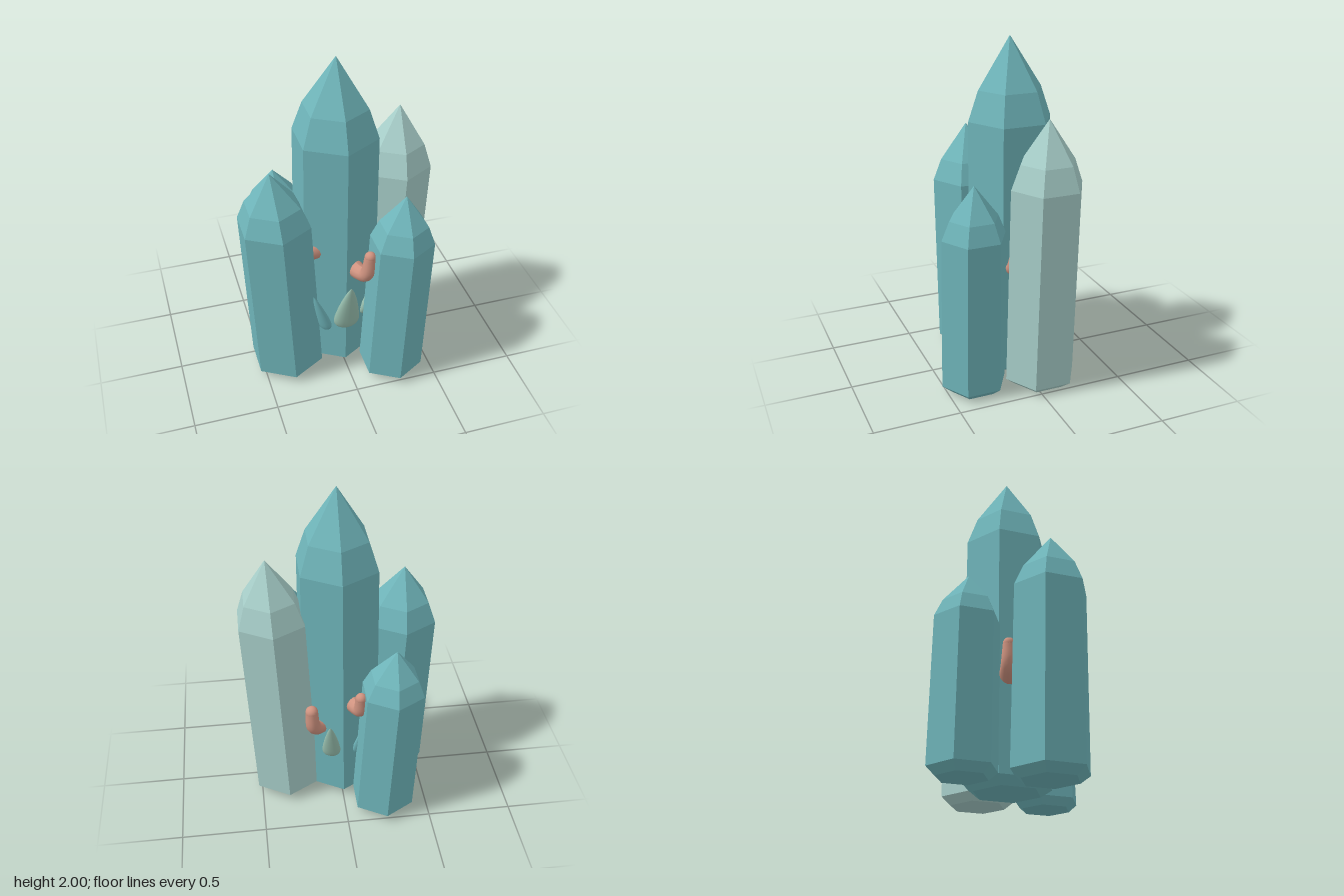
import * as THREE from 'three';

const mat = (name, color) => {
  const m = new THREE.MeshStandardMaterial({ color });
  m.name = name;
  return m;
};

export function createModel() {
  const teal = mat('teal', 0x6fb5ba);
  const pale = mat('paleTeal', 0xa8cfca);
  const sage = mat('sageGreen', 0x98bfae);
  const coral = mat('coralPink', 0xcf9380);
  const root = new THREE.Group();
  root.name = 'crystalCluster';

  const add = (name, geo, material, parent = root) => {
    const mesh = new THREE.Mesh(geo, material);
    mesh.name = name;
    parent.add(mesh);
    return mesh;
  };

  // Six-sided crystal with chamfered foot and two-step point, sheared to lean
  function crystal(name, material, height, foot, tip, r0, r1) {
    const profile = [
      [0, 0], [r0 * 0.74, 0], [r0, 0.045],
      [r1, height * 0.765], [r1 * 0.76, height * 0.852], [0, height],
    ].map(([r, y]) => new THREE.Vector2(r, y));
    const geo = new THREE.LatheGeometry(profile, 6).toNonIndexed();
    const p = geo.attributes.position;
    for (let i = 0; i < p.count; i++) {
      const t = p.getY(i) / height;
      p.setX(i, p.getX(i) + THREE.MathUtils.lerp(foot[0], tip[0], t));
      p.setZ(i, p.getZ(i) + THREE.MathUtils.lerp(foot[1], tip[1], t));
    }
    geo.computeVertexNormals();
    add(name, geo, material);
  }
  crystal('centreCrystal', teal, 2.0, [-0.003, -0.003], [0.01, -0.003], 0.265, 0.252);
  crystal('leftCrystal', pale, 1.615, [0.333, -0.06], [0.41, -0.065], 0.216, 0.214);
  crystal('rightCrystal', teal, 1.41, [-0.34, 0.113], [-0.405, 0.115], 0.226, 0.219);
  crystal('frontCrystal', teal, 1.265, [0.265, 0.333], [0.32, 0.335], 0.195, 0.188);
  crystal('backCrystal', teal, 1.135, [-0.233, -0.333], [-0.29, -0.335], 0.195, 0.189);

  // Flattened pointed buds leaning out of the centre crystal
  const budProfile = new THREE.SplineCurve([
    [0, 0], [0.7, 0.03], [1, 0.13], [0.9, 0.35], [0.62, 0.64], [0.28, 0.88], [0, 1],
  ].map(([r, y]) => new THREE.Vector2(r, y))).getPoints(18);
  budProfile.forEach((v) => { v.x = Math.max(0, v.x); });
  const budGeo = new THREE.LatheGeometry(budProfile, 16);
  const buds = new THREE.Group();
  buds.name = 'buds';
  root.add(buds);
  [
    ['frontBud', sage, [0, 0.32, 0.245], [0, 0.69, 0.355], 0.078],
    ['frontLeftBud', sage, [0.145, 0.32, 0.155], [0.205, 0.58, 0.215], 0.058],
    ['frontRightBud', teal, [-0.115, 0.295, 0.21], [-0.2, 0.585, 0.25], 0.055],
    ['backBud', sage, [0.068, 0.32, -0.225], [0.085, 0.6, -0.315], 0.055],
    ['backRightBud', teal, [-0.1, 0.3, -0.2], [-0.13, 0.58, -0.285], 0.045],
  ].forEach(([name, material, a, b, r]) => {
    const base = new THREE.Vector3(...a);
    const d = new THREE.Vector3(...b).sub(base);
    const bud = add(name, budGeo, material, buds);
    bud.position.copy(base);
    bud.rotation.set(Math.atan2(Math.hypot(d.x, d.z), d.y), Math.atan2(d.x, d.z), 0, 'YXZ');
    bud.scale.set(r, d.length(), r * 0.62);
  });

  // Tapered bent fingers with round tips
  function finger(name, points, r0 = 0.055, r1 = 0.033) {
    const curve = new THREE.CatmullRomCurve3(points.map((q) => new THREE.Vector3(...q)));
    const steps = 16, sides = 12;
    const geo = new THREE.TubeGeometry(curve, steps, 1, sides);
    const p = geo.attributes.position;
    const v = new THREE.Vector3();
    for (let i = 0; i < p.count; i++) {
      const t = Math.floor(i / (sides + 1)) / steps;
      const c = curve.getPointAt(t);
      v.fromBufferAttribute(p, i).sub(c).multiplyScalar(THREE.MathUtils.lerp(r0, r1, t)).add(c);
      p.setXYZ(i, v.x, v.y, v.z);
    }
    geo.computeVertexNormals();
    const group = new THREE.Group();
    group.name = name;
    root.add(group);
    add('stem', geo, coral, group);
    add('tip', new THREE.SphereGeometry(r1, 14, 10), coral, group).position.copy(curve.getPoint(1));
  }
  finger('frontFinger', [[0.05, 0.72, 0.16], [0.08, 0.72, 0.26], [0.1, 0.755, 0.325], [0.115, 0.885, 0.337]]);
  finger('frontRightFinger', [[-0.1, 0.83, 0.1], [-0.18, 0.845, 0.145], [-0.245, 0.87, 0.16], [-0.27, 0.98, 0.165]]);
  finger('backRightFinger', [[-0.16, 0.6, -0.05], [-0.24, 0.6, -0.085], [-0.31, 0.63, -0.108], [-0.335, 0.74, -0.115]]);
  finger('backFinger', [[-0.04, 0.7, -0.16], [-0.07, 0.7, -0.25], [-0.09, 0.725, -0.315], [-0.09, 0.825, -0.338]]);
  finger('backLeftFinger', [[0.09, 0.51, -0.13], [0.14, 0.51, -0.185], [0.175, 0.545, -0.22], [0.185, 0.66, -0.226]], 0.05, 0.038);
  finger('leftFinger', [[0.15, 0.7, 0.04], [0.22, 0.7, 0.07], [0.265, 0.72, 0.085], [0.285, 0.82, 0.075]], 0.045, 0.03);

  return root;
}
